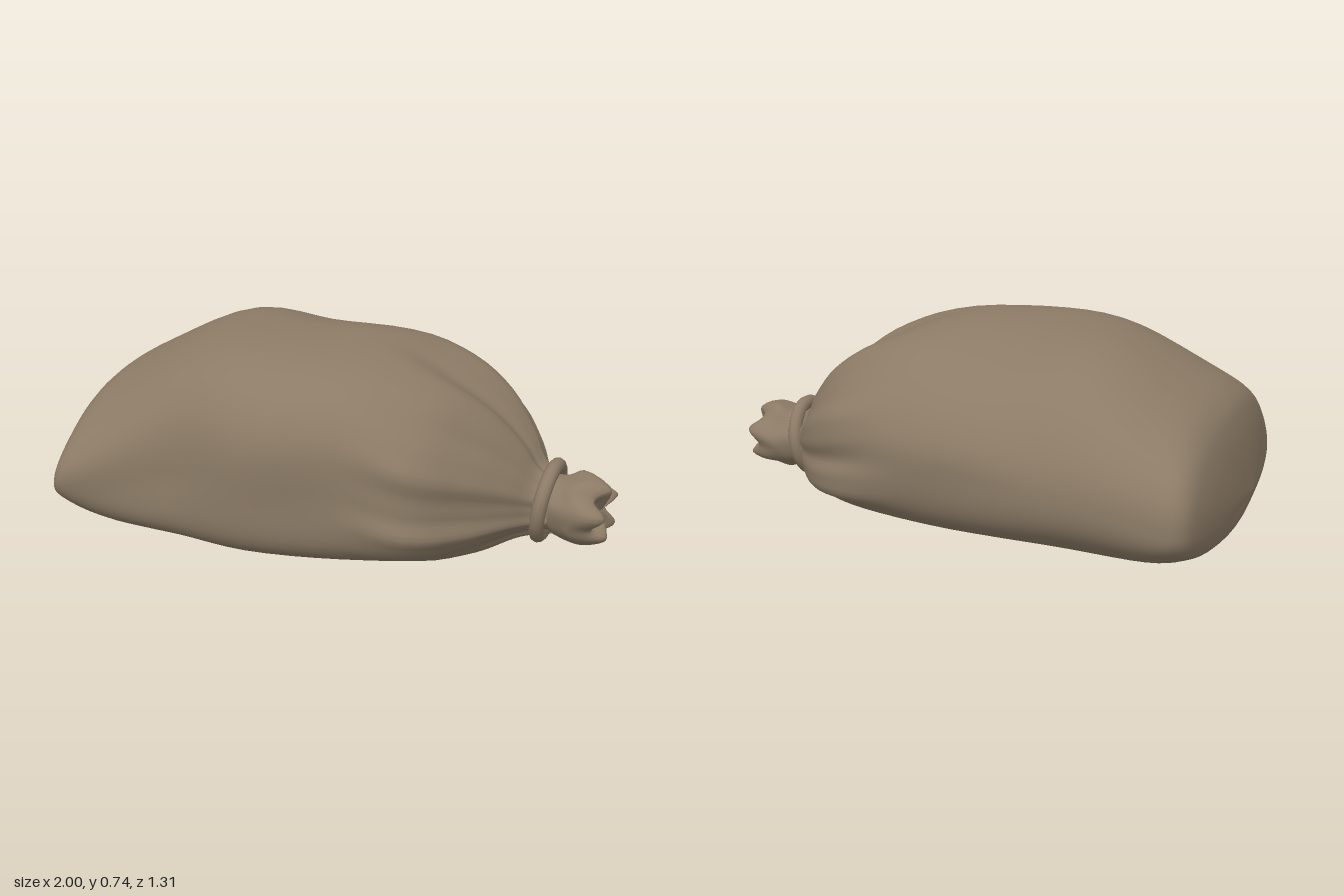
import * as THREE from 'three';

// Smooth interpolation through the rows of a station table
function station(rows, t) {
  const i = Math.min(Math.floor(t), rows.length - 2), f = t - i;
  const row = (k) => rows[Math.max(0, Math.min(rows.length - 1, k))];
  const [a, b, c, d] = [row(i - 1), row(i), row(i + 1), row(i + 2)];
  return b.map((_, k) => {
    const m0 = (c[k] - a[k]) / 2, m1 = (d[k] - b[k]) / 2;
    const f2 = f * f, f3 = f2 * f;
    return (2 * f3 - 3 * f2 + 1) * b[k] + (f3 - 2 * f2 + f) * m0 + (3 * f2 - 2 * f3) * c[k] + (f3 - f2) * m1;
  });
}

// Skin rounded cross-sections along x; row = [x, bottom, top, zMin, zMax, widest y,
// then squareness of the upper front, upper back, lower front and lower back quarters]
function loft(rows, perRow, sides, shape) {
  const pos = [], index = [], rings = (rows.length - 1) * perRow;
  for (let j = 0; j <= rings; j++) {
    const [x, yb, yt, z0, z1, ym, ...square] = station(rows, j / perRow);
    const zc = (z0 + z1) / 2, hz = (z1 - z0) / 2;
    for (let i = 0; i < sides; i++) {
      const a = (i / sides) * Math.PI * 2;
      const c = Math.cos(a), s = Math.sin(a);
      const n = square[(s > 0 ? 0 : 2) + (c > 0 ? 0 : 1)];
      const { r, dx } = shape(a, x, j / perRow);
      const k = r * (Math.abs(c) ** n + Math.abs(s) ** n) ** (-1 / n);
      pos.push(x + dx, Math.max(0.008, ym + s * k * (s > 0 ? yt - ym : ym - yb)), zc + c * k * hz);
    }
  }
  for (let j = 0; j < rings; j++) {
    for (let i = 0; i < sides; i++) {
      const a = j * sides + i, b = j * sides + ((i + 1) % sides);
      index.push(a, a + sides, b, b, a + sides, b + sides);
    }
  }
  const g = new THREE.BufferGeometry();
  g.setAttribute('position', new THREE.Float32BufferAttribute(pos, 3));
  g.setIndex(index);
  g.computeVertexNormals();
  return g;
}

export function createModel() {
  const model = new THREE.Group();
  const cloth = new THREE.MeshStandardMaterial({ color: 0x8c7b66 });
  cloth.name = 'brown sackcloth';
  cloth.side = THREE.DoubleSide;
  const add = (name, geometry) => {
    const mesh = new THREE.Mesh(geometry, cloth);
    mesh.name = name;
    model.add(mesh);
    return mesh;
  };

  // Plump body: blunt sewn end at -x, gathered neck at +x
  const body = [
    [-1, 0.15, 0.15, 0.15, 0.15, 0.15, 2, 2, 2, 2],
    [-0.985, 0.085, 0.29, -0.28, 0.4, 0.18, 2, 2, 2, 2],
    [-0.955, 0.06, 0.43, -0.55, 0.58, 0.21, 1.9, 2.2, 2.2, 2],
    [-0.905, 0.045, 0.52, -0.648, 0.645, 0.23, 1.9, 2.4, 2.6, 2.1],
    [-0.78, 0.018, 0.6, -0.65, 0.635, 0.25, 2.1, 2.3, 3.8, 2.3],
    [-0.5, 0.01, 0.725, -0.615, 0.605, 0.3, 2.5, 2.1, 5.5, 2.7],
    [-0.2, 0.01, 0.742, -0.58, 0.648, 0.34, 2.7, 1.8, 6, 3.2],
    [0.15, 0.01, 0.732, -0.525, 0.6, 0.33, 2.7, 1.9, 5, 3.2],
    [0.4, 0.01, 0.64, -0.455, 0.56, 0.28, 2.5, 2.4, 3.6, 3],
    [0.56, 0.015, 0.53, -0.36, 0.41, 0.24, 2.2, 2.3, 2.6, 2.5],
    [0.67, 0.045, 0.41, -0.23, 0.27, 0.21, 2, 2, 2, 2],
    [0.73, 0.06, 0.32, -0.12, 0.185, 0.19, 2, 2, 2, 2],
    [0.79, 0.07, 0.29, -0.08, 0.145, 0.18, 2, 2, 2, 2],
  ];
  add('sackBody', loft(body, 4, 96, (a, x) => {
    const gather = THREE.MathUtils.smoothstep(x, 0.1, 0.65);
    const pleat = 0.045 * Math.cos(8 * (a - 0.4)) + 0.015 * Math.cos(19 * a);
    const valley = -0.07 * Math.exp(-(((a - 1.55) / 0.17) ** 2));
    const lumps = 0.006 * Math.sin(3 * a + 5 * x) + 0.006 * Math.sin(5 * a - 9 * x);
    const seam = Math.min(1, (x + 1) * 12) * (1 - THREE.MathUtils.smoothstep(x, -0.9, -0.5));
    return {
      r: 1 + lumps * (1 - gather) + gather * (pleat + valley),
      dx: seam * (0.01 * Math.sin(4 * a) - 0.015 * Math.cos(a)),
    };
  }));

  // Crumpled mouth beyond the tie, folding back inward at the tip
  const mouth = [
    [0.76, 0.08, 0.28, -0.07, 0.13, 0.18, 2, 2, 2, 2],
    [0.83, 0.055, 0.285, -0.075, 0.155, 0.175, 2, 2, 2, 2],
    [0.9, 0.05, 0.305, -0.09, 0.18, 0.175, 2, 2, 2, 2],
    [0.97, 0.075, 0.275, -0.07, 0.16, 0.175, 2, 2, 2, 2],
    [0.965, 0.115, 0.235, -0.03, 0.11, 0.175, 2, 2, 2, 2],
    [0.955, 0.175, 0.175, 0.035, 0.035, 0.175, 2, 2, 2, 2],
  ];
  add('gatheredMouth', loft(mouth, 3, 48, (a, x, t) => {
    const frill = Math.min(1, t / 2);
    return {
      r: 1 + frill * (0.04 * Math.sin(7 * a) + 0.05 * Math.sin(4 * a + 1)),
      dx: t > 1 && t < 5 ? 0.025 * Math.sin(5 * a + 0.6) * Math.min(1, t - 1, 5 - t) : 0,
    };
  }));

  // Cord tied round the neck, leaning slightly
  const cord = add('neckTie', new THREE.TorusGeometry(0.133, 0.027, 10, 32).rotateY(Math.PI / 2));
  cord.position.set(0.763, 0.185, 0.036);
  cord.rotation.z = -0.15;

  return model;
}
